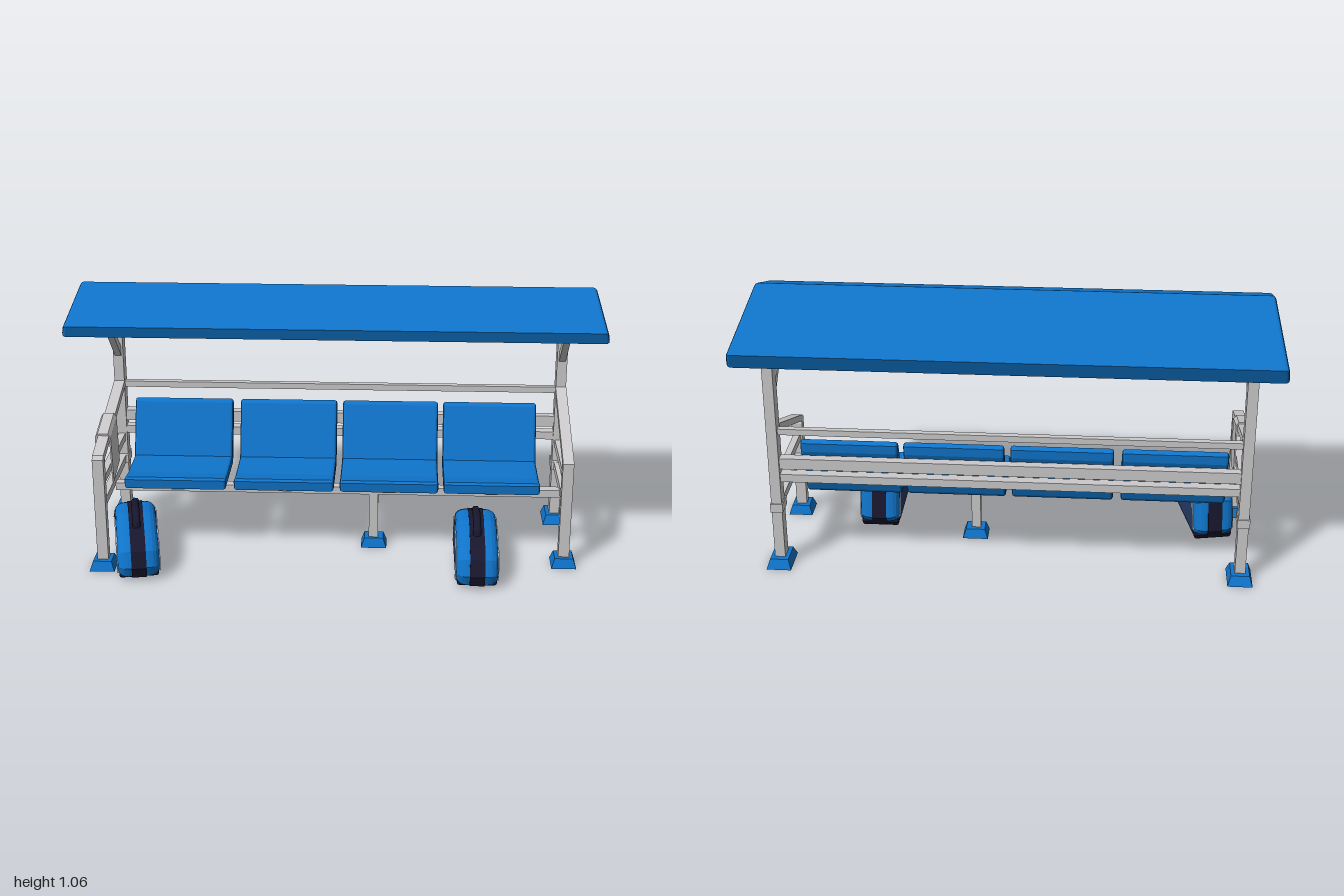
import * as THREE from 'three';

const mat = (name, color, extra = {}) => new THREE.MeshStandardMaterial({ name, color, ...extra });

export function createModel() {
  const model = new THREE.Group();
  model.name = 'shelteredBench';
  const blue = mat('blue', 0x0f74ca);
  const grey = mat('lightGrey', 0xcbc9cb);
  const navy = mat('navy', 0x263a66);
  const dark = mat('darkNavy', 0x18172e);
  const pale = mat('paleBlue', 0xb9c8dc);

  const add = (name, geo, material, parent = model) => {
    const mesh = new THREE.Mesh(geo, material);
    mesh.name = name;
    parent.add(mesh);
    return mesh;
  };
  const box = (name, material, x0, x1, y0, y1, z0, z1, parent) =>
    add(name, new THREE.BoxGeometry(x1 - x0, y1 - y0, z1 - z0)
      .translate((x0 + x1) / 2, (y0 + y1) / 2, (z0 + z1) / 2), material, parent);

  // Extrudes a side profile of [z, y] points across x, centred on x = 0
  const sideExtrude = (pts, width, bevel = 0, size = bevel, segs = 2) => {
    const shape = new THREE.Shape(pts.map(([z, y]) => new THREE.Vector2(-z, y)));
    const depth = width - 2 * bevel;
    return new THREE.ExtrudeGeometry(shape, {
      depth, bevelEnabled: bevel > 0, bevelThickness: bevel,
      bevelSize: size, bevelOffset: -size, bevelSegments: segs,
    }).translate(0, 0, -depth / 2).rotateY(Math.PI / 2);
  };

  // Gabled roof, flaring in length towards the eaves
  const roof = sideExtrude([[0.264, 0.963], [0.249, 0.92], [-0.01, 0.99], [-0.39, 0.873],
    [-0.416, 0.932], [-0.012, 1.056]], 2, 0.012);
  const rp = roof.attributes.position;
  for (let i = 0; i < rp.count; i++) {
    rp.setX(i, rp.getX(i) * Math.min(1, 0.97 + 0.2 * (1.05 - rp.getY(i))));
  }
  roof.computeVertexNormals();
  add('roof', roof, blue);

  // Tapered feet
  const foot = (x, z, w, d) => {
    const g = new THREE.CylinderGeometry(0.37, 0.5, 0.037, 4, 1).rotateY(Math.PI / 4);
    g.scale(w * Math.SQRT2, 1, d * Math.SQRT2);
    const flat = g.toNonIndexed();
    flat.computeVertexNormals();
    add('foot', flat.translate(x, 0.0185, z), blue);
  };

  // Curved roof stay, used at the posts and between them
  const stayProfile = [[0.2, 0.934], [0.015, 0.928], [-0.13, 0.912], [-0.24, 0.885],
    [-0.24, 0.918], [-0.13, 0.943], [-0.03, 0.955], [0.09, 0.957]];
  const stay = (x) => add('roofStay', sideExtrude(stayProfile, 0.036).translate(x, 0, 0), grey);
  [-0.555, 0.15].forEach(stay);

  // Side frames: the right-hand front post stands further forward
  const arms = [
    { x: 0.88, z: 0.158, pts: [[0.177, 0.03], [0.177, 0.42], [0.16, 0.432], [-0.24, 0.585],
      [-0.24, 0.558], [0.145, 0.41], [0.14, 0.4], [0.14, 0.03]] },
    { x: -0.885, z: 0.257, pts: [[0.275, 0.03], [0.275, 0.445], [0.262, 0.46], [-0.24, 0.585],
      [-0.24, 0.558], [0.25, 0.432], [0.238, 0.42], [0.238, 0.03]] },
  ];
  for (const { x, z, pts } of arms) {
    add('frontPostAndArmrest', sideExtrude(pts, 0.042).translate(x, 0, 0), grey);
    box('rearPost', grey, x - 0.02, x + 0.02, 0.03, 0.912, -0.29, -0.235);
    box('postCollar', grey, x - 0.024, x + 0.024, 0.232, 0.268, -0.295, -0.22);
    box('sideRail', grey, x - 0.013, x + 0.013, 0.328, 0.358, -0.24, z);
    box('sideRail', grey, x - 0.013, x + 0.013, 0.236, 0.267, -0.24, z);
    add('roofBrace', sideExtrude([[0.03, 0.935], [-0.01, 0.935], [-0.24, 0.725], [-0.24, 0.685]],
      0.026).translate(x, 0, 0), grey);
    stay(x);
    foot(x, z, 0.095, 0.1);
    foot(x, -0.263, 0.095, 0.134);
  }

  // Long rails behind the seats, seat beam and middle leg
  box('topRail', grey, -0.88, 0.88, 0.553, 0.577, -0.275, -0.25);
  box('backRail', grey, -0.88, 0.88, 0.412, 0.456, -0.28, -0.243);
  box('backRail', grey, -0.88, 0.88, 0.358, 0.39, -0.28, -0.24);
  box('seatBeam', grey, -0.87, 0.87, 0.22, 0.25, -0.008, 0.03);
  for (const x of [-0.62, -0.2, 0.205, 0.6]) {
    box('seatBracket', grey, x - 0.025, x + 0.025, 0.24, 0.268, -0.1, 0.06);
  }
  box('middleLeg', grey, 0.127, 0.163, 0.03, 0.225, -0.006, 0.028);
  foot(0.147, 0.008, 0.1, 0.088);

  // Four bent shell seats
  const seatProfile = [[0.11, 0.264], [0.112, 0.3], [0.1, 0.307], [0.03, 0.299], [-0.135, 0.303],
    [-0.213, 0.505], [-0.228, 0.516], [-0.245, 0.505], [-0.243, 0.47], [-0.166, 0.275], [-0.155, 0.262]];
  for (const [a, b] of [[-0.82, -0.425], [-0.395, -0.008], [0.015, 0.395], [0.415, 0.785]]) {
    add('seat', sideExtrude(seatProfile, b - a, 0.01).translate((a + b) / 2, 0, 0), blue);
  }

  // Towel folded over the right armrest, sheared to follow its slope
  const fold = new THREE.Shape([[-0.926, 0.25], [-0.918, 0.5], [-0.908, 0.515], [-0.868, 0.515],
    [-0.858, 0.5], [-0.858, 0.31], [-0.864, 0.31], [-0.864, 0.497], [-0.911, 0.497], [-0.919, 0.25]]
    .map(([x, y]) => new THREE.Vector2(x, y)));
  const towel = new THREE.ExtrudeGeometry(fold, { depth: 0.138, bevelEnabled: false });
  const tp = towel.attributes.position;
  for (let i = 0; i < tp.count; i++) {
    const y = tp.getY(i), z = tp.getZ(i);
    tp.setXYZ(i, tp.getX(i), y - 0.25 * (z - 0.069), z - (0.51 - y) * 0.1);
  }
  towel.computeVertexNormals();
  add('towel', towel, grey);

  // Sports bags
  const bagProfile = [[0.2, 0.06], [0.18, 0.12], [0.135, 0.155], [-0.015, 0.195], [-0.115, 0.195],
    [-0.175, 0.17], [-0.195, 0.05], [-0.165, 0.008], [0.145, 0.008], [0.185, 0.02]];
  const panel = [[0.14, 0.025], [0.145, 0.09], [0.12, 0.125], [-0.03, 0.16], [-0.1, 0.16],
    [-0.13, 0.13], [-0.155, 0.05], [-0.15, 0.025]];
  const frontFlash = [[0.155, 0.025], [0.16, 0.08], [0.14, 0.118], [0.09, 0.142], [-0.03, 0.165],
    [0.08, 0.128], [0.12, 0.105], [0.135, 0.08], [0.13, 0.025]];
  const rearFlash = [[-0.08, 0.168], [-0.13, 0.158], [-0.153, 0.09], [-0.163, 0.04], [-0.147, 0.04],
    [-0.132, 0.09], [-0.115, 0.14]];
  const handlePath = new THREE.CatmullRomCurve3([[0.17, 0.075], [0.19, 0.07], [0.214, 0.03],
    [0.217, -0.04], [0.21, -0.09], [0.185, -0.115]].map(([y, z]) => new THREE.Vector3(0, y, z)));

  const bag = (x, z, turn) => {
    const g = new THREE.Group();
    g.name = 'sportsBag';
    add('bagBody', sideExtrude(bagProfile, 0.156, 0.038, 0.03, 4), blue, g);
    add('bagCentreStripe', sideExtrude(bagProfile.map(([pz, py]) =>
      [pz * 1.025, 0.1 + (py - 0.1) * 1.03]), 0.056), dark, g);
    add('bagBase', sideExtrude([[0.15, 0.002], [0.18, 0.018], [0.17, 0.035], [-0.17, 0.035],
      [-0.182, 0.025], [-0.165, 0.002]], 0.148, 0.008), dark, g);
    for (const s of [-1, 1]) {
      add('bagSidePanel', sideExtrude(panel, 0.006).translate(s * 0.077, 0, 0), navy, g);
      for (const flash of [frontFlash, rearFlash]) {
        add('bagFlash', sideExtrude(flash, 0.006).translate(s * 0.079, 0, 0), pale, g);
      }
    }
    add('bagHandle', new THREE.TubeGeometry(handlePath, 20, 0.01, 6).scale(1.5, 1, 1), dark, g);
    g.position.set(x, 0, z);
    g.rotation.y = turn;
    model.add(g);
  };
  bag(0.54, 0.213, 0);
  bag(-0.765, 0.198, 0.2);

  return model;
}
